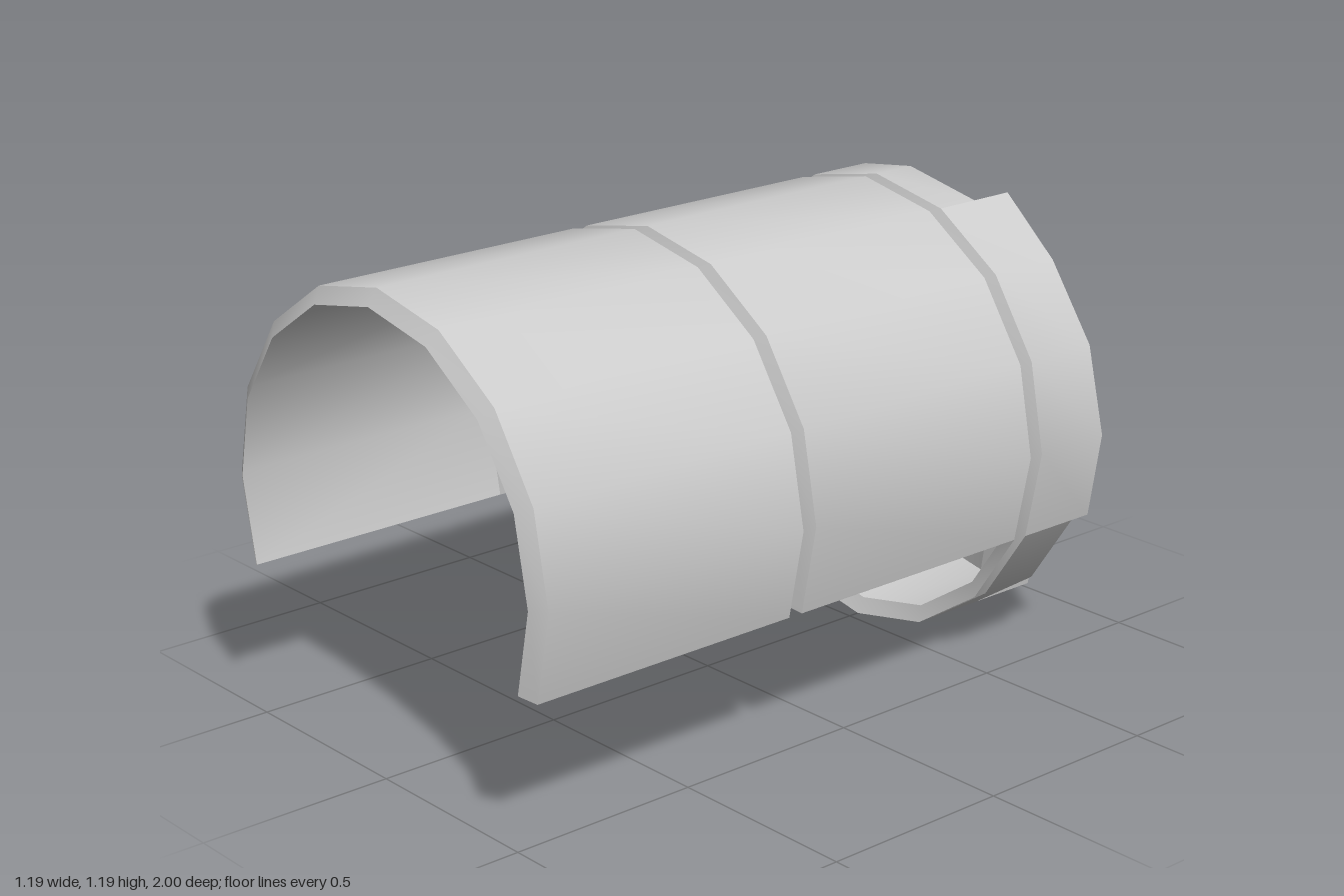
import * as THREE from 'three';
import { mergeGeometries, toCreasedNormals } from 'three/addons/utils/BufferGeometryUtils.js';

const R = 0.595, GROOVE = 0.555, CY = 0.6;
const material = new THREE.MeshStandardMaterial({ color: 0xcccccc, side: THREE.DoubleSide });

// Point on the 16-sided outline, k in steps of 22.5 degrees
const rim = (k, z, r = R) => [r * Math.cos(k * Math.PI / 8), CY + r * Math.sin(k * Math.PI / 8), z];

// Point on the inner square; odd steps are midpoints of the even ones
const corners = [[0.28, 0.6], [0.27, 0.875], [0, 0.89], [-0.28, 0.875], [-0.29, 0.6], [-0.28, 0.32], [0, 0.31], [0.27, 0.32]];
function inner(k, z) {
  const j = (k + 16) % 16;
  const a = corners[Math.floor(j / 2)], b = corners[Math.ceil(j / 2) % 8];
  return [(a[0] + b[0]) / 2, (a[1] + b[1]) / 2, z];
}
const mid = z => [0, CY, z];
const line = (fn, ks, zs) => ks.map((k, i) => fn(k, Array.isArray(zs) ? zs[i] : zs));
const range = (a, b) => Array.from({ length: b - a + 1 }, (_, i) => a + i);

// Surface between two rows of points of equal length
function strip(a, b) {
  const index = [], n = a.length;
  const same = (p, q) => p.every((v, i) => Math.abs(v - q[i]) < 1e-6);
  for (let i = 0; i < n - 1; i++) {
    if (!same(a[i], a[i + 1])) index.push(i, n + i, i + 1);
    if (!same(b[i], b[i + 1])) index.push(i + 1, n + i, n + i + 1);
  }
  const g = new THREE.BufferGeometry();
  g.setAttribute('position', new THREE.Float32BufferAttribute([...a, ...b].flat(), 3));
  g.setIndex(index);
  return g.toNonIndexed();
}

// Sweeps a [z, radius] profile over the outline steps ks
function shell(ks, profile) {
  return profile.slice(1).map(([z, r], i) =>
    strip(ks.map(k => rim(k, profile[i][0], profile[i][1])), ks.map(k => rim(k, z, r))));
}

function part(name, geometries) {
  const mesh = new THREE.Mesh(toCreasedNormals(mergeGeometries(geometries), 0.8), material);
  mesh.name = name;
  return mesh;
}

export function createModel() {
  const group = new THREE.Group();
  group.name = 'halfOpenTube';

  // Open half shell in two lengths, with chamfered ends forming the groove
  const arc = range(-1, 9);
  group.add(part('frontShell', shell(arc, [[1, GROOVE], [0.975, R], [0.23, R], [0.21, GROOVE]])));
  group.add(part('rearShell', shell(arc, [[0.21, GROOVE], [0.19, R], [-0.53, R]])));

  // Full collar with a groove
  group.add(part('collar', shell(range(0, 16), [[-0.53, R], [-0.55, GROOVE], [-0.57, R]])));

  // Stepped sectors of the end cap: outer row, inner row and their depths
  const sectors = [
    { name: 'sideSector', ro: range(-1, 3), ri: range(-2, 2),
      zo: [-0.8, -0.79, -0.78, -0.775, -0.81], zi: [-0.87, -0.895, -0.92, -0.88, -0.84] },
    { name: 'upperSector', ro: range(3, 8), ri: [2, 4, 5, 6, 7, 8],
      zo: [-0.69, -0.69, -0.75, -0.75, -0.745, -0.74], zi: [-0.69, -0.69, -0.72, -0.75, -0.745, -0.74] },
    { name: 'lowerSector', ro: range(8, 13), ri: [8, 9, 10, 11, 12, 14],
      zo: [-1, -1, -1, -1, -1, -0.94], zi: [-0.93, -0.965, -1, -0.99, -0.98, -0.95] },
    { name: 'notch', ro: range(13, 15), ri: [14, 14, 14],
      zo: [-0.74, -0.74, -0.74], zi: [-0.74, -0.74, -0.74] },
  ];
  for (const { name, ro, ri, zo, zi } of sectors) {
    const edge = line(rim, ro, zo);
    group.add(part(name, [
      strip(line(rim, ro, -0.57), edge),
      strip(edge, line(inner, ri, zi)),
    ]));
  }

  // Centre of the cap: one raised quadrant and the surface around it
  const hubSteps = [8, 9, 10, 11, 12, 13, 14, 15, 16, 17, 18, 19, 20];
  const hubZ = [-0.93, -0.965, -1, -0.99, -0.98, -0.965, -0.95, -0.945, -0.94, -0.93, -0.92, -0.92, -0.92];
  const hub = line(inner, hubSteps, hubZ);
  const raised = line(inner, range(4, 8), [-0.95, -0.94, -0.93, -0.93, -0.93]);
  group.add(part('hub', [strip(hub, hub.map(() => mid(-0.92)))]));
  group.add(part('raisedQuadrant', [strip(raised, raised.map(() => mid(-0.95)))]));

  // Upright walls joining the steps
  const [side, upper] = sectors;
  group.add(part('stepWalls', [
    strip([rim(3, -0.81), inner(2, -0.84)], [rim(3, -0.69), inner(2, -0.69)]),
    strip([inner(2, -0.92), inner(4, -0.92)], [inner(2, -0.69), inner(4, -0.69)]),
    strip(raised, line(inner, upper.ri.slice(1), upper.zi.slice(1))),
    strip([inner(8, -0.93), rim(8, -1)], [inner(8, -0.74), rim(8, -0.74)]),
    strip(line(inner, range(14, 18), hubZ.slice(6, 11)), line(inner, side.ri, side.zi)),
    strip([rim(15, -0.8), inner(14, -0.87)], [rim(15, -0.74), inner(14, -0.74)]),
    strip([inner(14, -0.95), rim(13, -0.94)], [inner(14, -0.74), rim(13, -0.74)]),
    strip([inner(4, -0.95), mid(-0.95), inner(8, -0.93)], [inner(4, -0.92), mid(-0.92), inner(8, -0.93)]),
  ]));
  return group;
}
